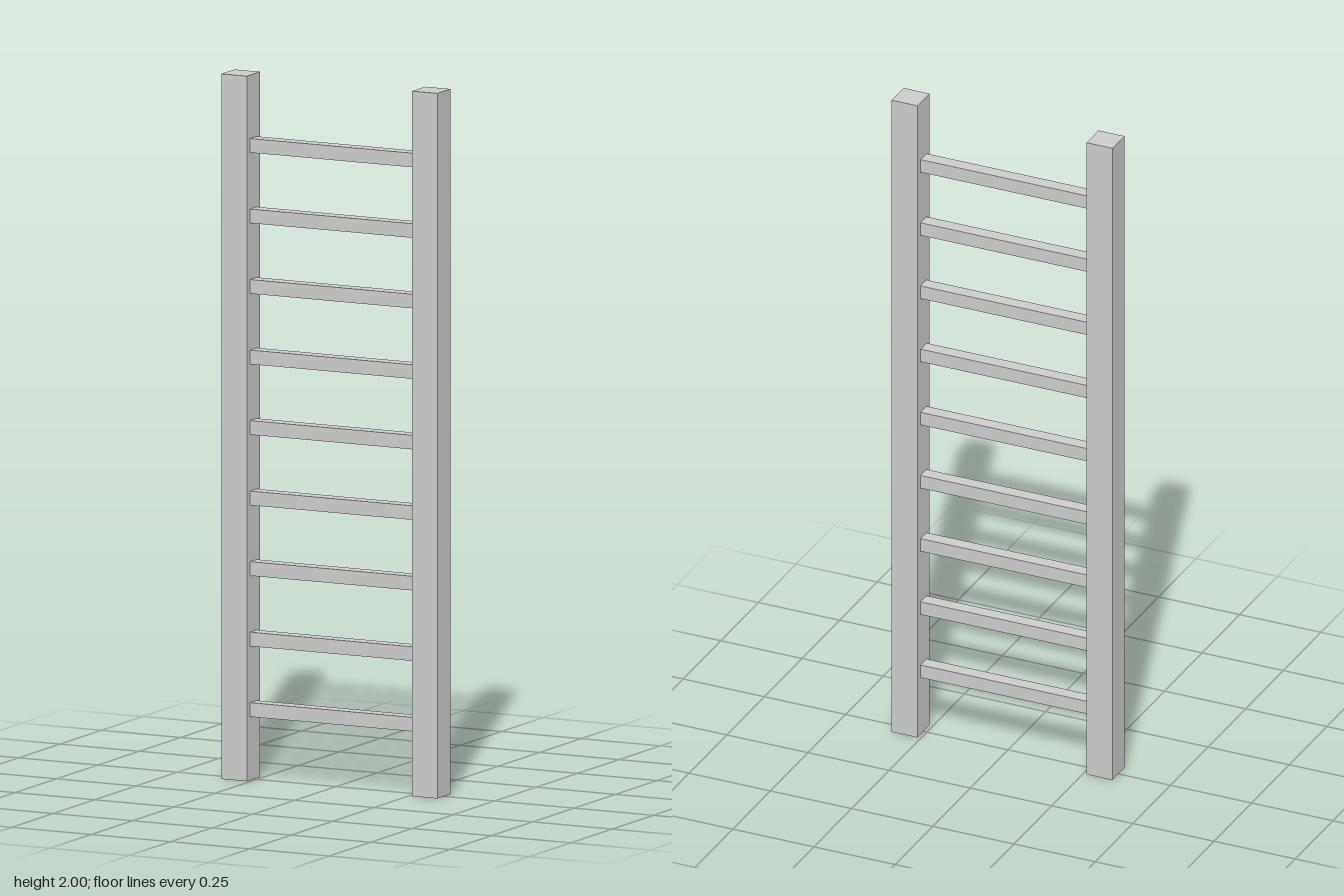
import * as THREE from 'three';

const HEIGHT = 2;
const RAIL = 0.08;      // square section of the side rails
const RAIL_X = 0.3;     // rail centre line
const RUNG = 0.04;      // square section of the rungs
const RUNG_COUNT = 9;
const RUNG_STEP = 0.2;

export function createModel() {
  const ladder = new THREE.Group();
  ladder.name = 'ladder';
  const material = new THREE.MeshStandardMaterial({ color: 0xcccccc });

  const addPart = (name, geometry, x, y) => {
    const mesh = new THREE.Mesh(geometry, material);
    mesh.name = name;
    mesh.position.set(x, y, 0);
    ladder.add(mesh);
  };

  // Side rails
  const railGeometry = new THREE.BoxGeometry(RAIL, HEIGHT, RAIL);
  addPart('leftRail', railGeometry, RAIL_X, HEIGHT / 2);
  addPart('rightRail', railGeometry, -RAIL_X, HEIGHT / 2);

  // Evenly spaced rungs spanning between the rails' inner faces
  const rungGeometry = new THREE.BoxGeometry(2 * RAIL_X - RAIL, RUNG, RUNG);
  for (let i = 1; i <= RUNG_COUNT; i++) {
    addPart(`rung${i}`, rungGeometry, 0, i * RUNG_STEP);
  }

  return ladder;
}
